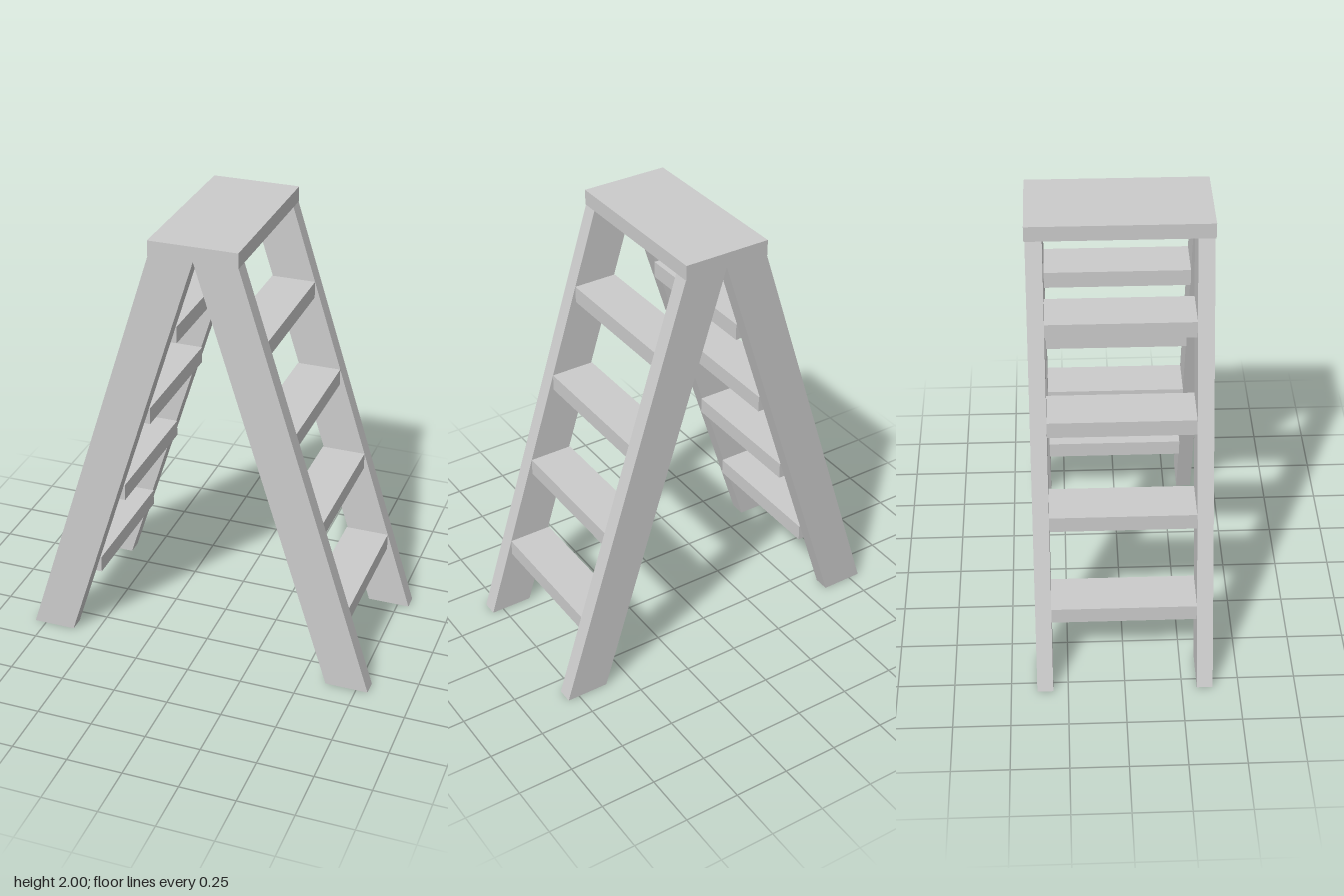
import * as THREE from 'three';

const TOP_Y = 1.932; // underside of the platform
const material = new THREE.MeshStandardMaterial({ color: 0xcccccc, flatShading: true });

function addMesh(parent, name, geometry, x = 0, y = 0, z = 0) {
  const mesh = new THREE.Mesh(geometry, material);
  mesh.name = name;
  mesh.position.set(x, y, z);
  parent.add(mesh);
  return mesh;
}

// Slanted rail, cut level at the floor and under the platform
function railGeometry(side) {
  const points = [[0.803, 0], [0.195, TOP_Y], [0, TOP_Y], [0.61, 0]];
  const shape = new THREE.Shape(points.map(([x, y]) => new THREE.Vector2(side * x, y)));
  return new THREE.ExtrudeGeometry(shape, { depth: 0.07, bevelEnabled: false });
}

export function createModel() {
  const model = new THREE.Group();
  model.name = 'stepladder';

  // Platform
  addMesh(model, 'platform', new THREE.BoxGeometry(0.39, 2 - TOP_Y, 0.78), 0, (2 + TOP_Y) / 2, 0);

  for (const side of [1, -1]) {
    const half = new THREE.Group();
    half.name = side > 0 ? 'leftLadder' : 'rightLadder';
    model.add(half);

    // Front and back rails
    addMesh(half, 'frontRail', railGeometry(side), 0, 0, 0.316);
    addMesh(half, 'backRail', railGeometry(side), 0, 0, -0.386);

    // Four level treads whose outer top edge meets the rail
    for (let i = 0; i < 4; i++) {
      const top = 0.375 + i * 0.4075;
      const outer = 0.803 - (0.608 * top) / TOP_Y;
      addMesh(half, 'tread', new THREE.BoxGeometry(0.198, 0.075, 0.632),
        side * (outer - 0.099), top - 0.0375, 0);
    }
  }
  return model;
}
